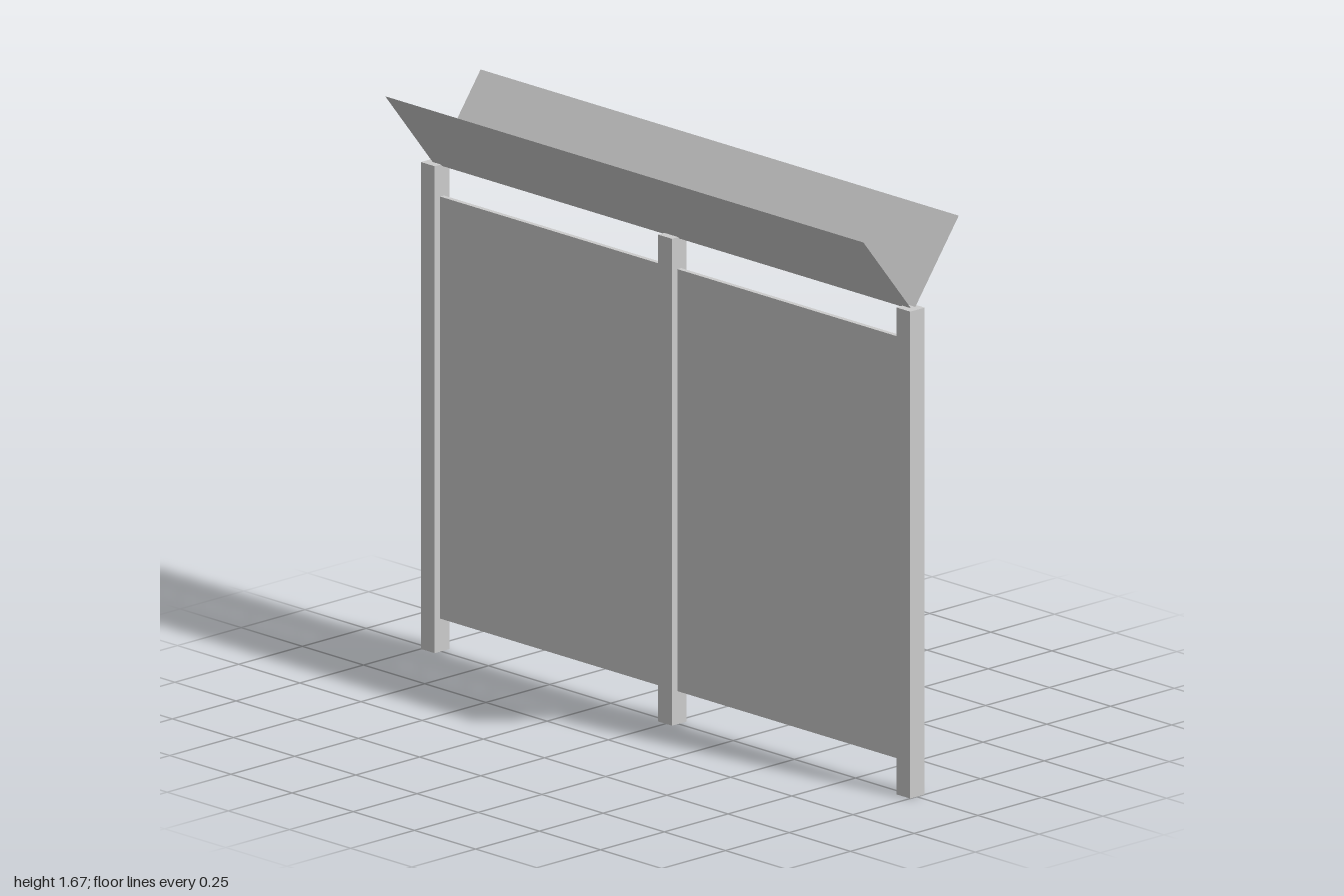
import * as THREE from 'three';

const material = new THREE.MeshStandardMaterial({ color: 0xcccccc, side: THREE.DoubleSide, flatShading: true });

function addMesh(parent, name, geometry, x = 0, y = 0, z = 0) {
  const mesh = new THREE.Mesh(geometry, material);
  mesh.name = name;
  mesh.position.set(x, y, z);
  parent.add(mesh);
}

// Hollow square post: capped on top, open underneath
function postGeometry(width, height) {
  const geometry = new THREE.BoxGeometry(width, height, width);
  const index = Array.from(geometry.index.array);
  index.splice(18, 6); // drop the bottom face
  geometry.setIndex(index);
  geometry.clearGroups();
  return geometry;
}

// Thin sheet rising from an inner edge to an outer edge, each given as [y, z]
function wingGeometry(length, inner, outer) {
  const rise = outer[0] - inner[0];
  const run = outer[1] - inner[1];
  const geometry = new THREE.PlaneGeometry(length, Math.hypot(rise, run));
  geometry.rotateX(Math.atan2(run, rise));
  geometry.translate(0, (inner[0] + outer[0]) / 2, (inner[1] + outer[1]) / 2);
  return geometry;
}

export function createModel() {
  const model = new THREE.Group();
  model.name = 'fencePanel';

  const postWidth = 0.057, postHeight = 1.441, centreZ = -0.003;
  const postX = [-1 + postWidth / 2, -0.002, 1 - postWidth / 2];

  // Three posts
  const post = postGeometry(postWidth, postHeight);
  ['rightPost', 'middlePost', 'leftPost'].forEach((name, i) =>
    addMesh(model, name, post, postX[i], postHeight / 2, centreZ));

  // Two infill panels between neighbouring posts
  const bottom = 0.098, top = 1.347;
  ['rightPanel', 'leftPanel'].forEach((name, i) => {
    const width = postX[i + 1] - postX[i] - postWidth;
    addMesh(model, name, new THREE.BoxGeometry(width, top - bottom, 0.015),
      (postX[i] + postX[i + 1]) / 2, (top + bottom) / 2, centreZ);
  });

  // V-shaped pair of sheets along the top
  addMesh(model, 'frontWing', wingGeometry(1.954, [1.436, -0.003], [1.675, 0.187]));
  addMesh(model, 'backWing', wingGeometry(1.954, [1.436, -0.013], [1.675, -0.187]));

  return model;
}
